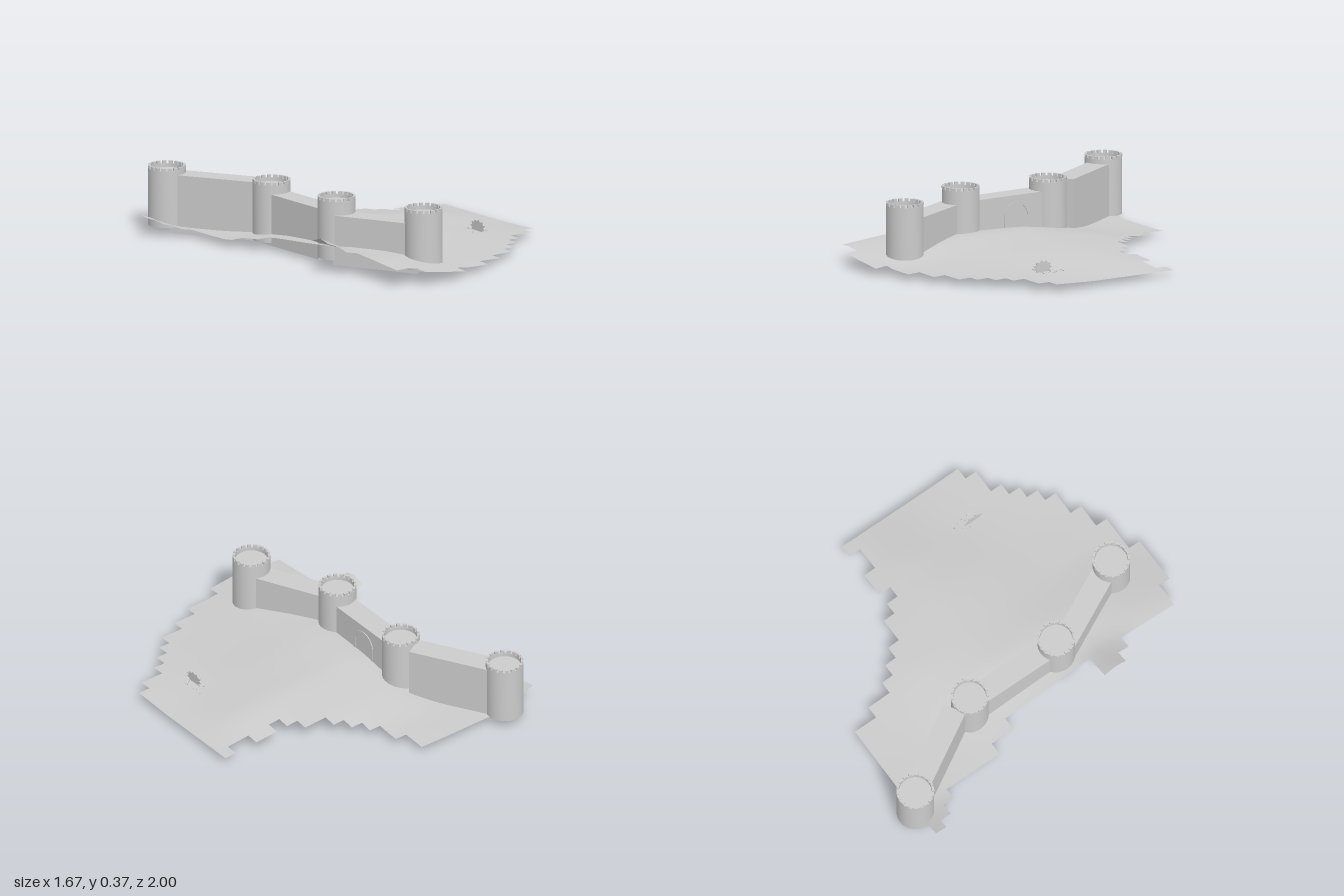
import * as THREE from 'three';
import { toCreasedNormals } from 'three/addons/utils/BufferGeometryUtils.js';

const grey = new THREE.MeshStandardMaterial({ color: 0xcccccc });
const greyThin = new THREE.MeshStandardMaterial({ color: 0xcccccc, side: THREE.DoubleSide });

function add(parent, name, geometry, material = grey) {
  const mesh = new THREE.Mesh(geometry, material);
  mesh.name = name;
  parent.add(mesh);
  return mesh;
}

// Ground heights at coarse control points, blended linearly in between
const gx = [-0.85, -0.65, -0.45, -0.25, 0, 0.3, 0.55, 0.83];
const gz = [-0.9, -0.65, -0.4, -0.1, 0.2, 0.45, 0.7, 1.0];
const heights = [
  [0.125, 0.04, 0.035, 0.03, 0.03, 0.03, 0.03, 0.03],
  [0.08, 0.04, 0.035, 0.035, 0.04, 0.035, 0.035, 0.03],
  [0.07, 0.04, 0.045, 0.075, 0.085, 0.07, 0.045, 0.03],
  [0.09, 0.08, 0.08, 0.12, 0.11, 0.1, 0.08, 0.03],
  [0.15, 0.12, 0.1, 0.125, 0.1, 0.08, 0.05, 0.03],
  [0.21, 0.21, 0.11, 0.11, 0.075, 0.055, 0.045, 0.04],
  [0.1, 0.1, 0.12, 0.1, 0.055, 0.04, 0.04, 0.04],
  [0.07, 0.08, 0.09, 0.06, 0.03, 0.03, 0.03, 0.03],
];

function locate(list, v) {
  let i = 0;
  while (i < list.length - 2 && v > list[i + 1]) i++;
  return [i, THREE.MathUtils.clamp((v - list[i]) / (list[i + 1] - list[i]), 0, 1)];
}

function groundHeight(x, z) {
  const [i, u] = locate(gx, x);
  const [j, v] = locate(gz, z);
  const { lerp } = THREE.MathUtils;
  return lerp(lerp(heights[j][i], heights[j][i + 1], u), lerp(heights[j + 1][i], heights[j + 1][i + 1], u), v);
}

// Ground sheet of square cells; each row lists its filled column spans
function groundGeometry() {
  const cell = 0.0701, cols = 24, x0 = -0.851, z0 = -0.897;
  const rows = [
    [0, 11], [1, 11], [2, 12], [3, 12], [3, 13], [3, 14], [3, 15], [3, 17],
    [4, 18, 19, 21, 23, 24], [4, 24],
    ...Array.from({ length: 8 }, () => [5, 24]),
    [3, 24], [3, 23], [4, 21], [5, 20], [5, 19], [5, 18], [5, 16], [5, 14], [7, 11],
  ];
  const positions = [], index = [];
  for (let j = 0; j <= rows.length; j++) {
    for (let i = 0; i <= cols; i++) {
      const x = Math.max(x0 + i * cell, -0.838), z = z0 + j * cell;
      positions.push(x, groundHeight(x, z), z);
    }
  }
  rows.forEach((spans, j) => {
    for (let s = 0; s < spans.length; s += 2) {
      for (let i = spans[s]; i < spans[s + 1]; i++) {
        const a = j * (cols + 1) + i, b = a + cols + 1;
        index.push(a, b, a + 1, a + 1, b, b + 1);
      }
    }
  });
  const geometry = new THREE.BufferGeometry();
  geometry.setAttribute('position', new THREE.Float32BufferAttribute(positions, 3));
  geometry.setIndex(index);
  geometry.computeVertexNormals();
  return geometry;
}

// Round tower with a sunken roof and a ring of merlons
function makeTower(name, x, z, bottom, top) {
  const tower = new THREE.Group();
  tower.name = name;
  tower.position.set(x, 0, z);
  const R = 0.103, r = 0.09, notch = 0.015, count = 18;
  const profile = [
    [0, bottom], [R, bottom], [R, top - notch], [r, top - notch], [r, top - 0.035], [0, top - 0.035],
  ].map(([px, py]) => new THREE.Vector2(px, py));
  add(tower, 'towerBody', toCreasedNormals(new THREE.LatheGeometry(profile, 36), 0.6));

  const half = (Math.PI / count) * 0.65;
  const shape = new THREE.Shape();
  shape.absarc(0, 0, R, -half, half, false);
  shape.absarc(0, 0, r, half, -half, true);
  const merlon = new THREE.ExtrudeGeometry(shape, { depth: notch, bevelEnabled: false, curveSegments: 3 });
  merlon.rotateX(-Math.PI / 2);
  for (let i = 0; i < count; i++) {
    const mesh = add(tower, 'merlon', merlon);
    mesh.position.y = top - notch;
    mesh.rotation.y = (i / count) * Math.PI * 2;
  }
  return tower;
}

// Arched frame around the gate, facing +x
function gateFrameGeometry() {
  const outline = (target, radius, base) => {
    target.moveTo(-radius, base);
    target.lineTo(radius, base);
    target.lineTo(radius, 0.167);
    target.absarc(0, 0.167, radius, 0, Math.PI, false);
    target.lineTo(-radius, base);
    return target;
  };
  const shape = outline(new THREE.Shape(), 0.083, 0.03);
  shape.holes.push(outline(new THREE.Path(), 0.071, 0.031));
  const geometry = new THREE.ExtrudeGeometry(shape, { depth: 0.008, bevelEnabled: false, curveSegments: 20 });
  geometry.rotateY(Math.PI / 2);
  return geometry;
}

// Small thin bush with a ragged outline and loose bits around it
function makeBush() {
  const bush = new THREE.Group();
  bush.name = 'bush';
  bush.position.set(0.535, 0.035, 0.325);
  let seed = 7;
  const random = () => (seed = (seed * 16807) % 2147483647) / 2147483647;
  const points = [];
  for (let i = 0; i < 22; i++) {
    const a = (i / 22) * Math.PI * 2, k = i % 2 ? 0.8 : 1.05;
    points.push(new THREE.Vector2(Math.cos(a) * 0.06 * k, 0.037 + Math.sin(a) * 0.038 * k));
  }
  const foliage = new THREE.ExtrudeGeometry(new THREE.Shape(points), { depth: 0.006, bevelEnabled: false });
  foliage.rotateY(Math.PI / 2);
  add(bush, 'foliage', foliage);
  const bit = new THREE.TetrahedronGeometry(0.006);
  for (let i = 0; i < 18; i++) {
    const x = (random() - 0.5) * 0.11, z = -0.04 + (random() - 0.5) * 0.15;
    const mesh = add(bush, 'looseBit', bit);
    mesh.position.set(x, groundHeight(0.535 + x, 0.325 + z) - 0.033, z);
    mesh.rotation.set(random() * 3, random() * 3, 0);
  }
  return bush;
}

export function createModel() {
  const model = new THREE.Group();
  model.name = 'castleWall';

  add(model, 'ground', groundGeometry(), greyThin);

  model.add(
    makeTower('backTower', -0.645, -0.897, 0.035, 0.365),
    makeTower('backGateTower', -0.365, -0.336, 0.015, 0.35),
    makeTower('frontGateTower', -0.37, 0.235, 0.025, 0.365),
    makeTower('frontTower', -0.17, 0.743, 0.03, 0.365),
  );

  // Straight walls: centre x, centre z, length, height, direction in x and z
  const walls = [
    ['backWall', -0.497, -0.654, 0.493, 0.325, 0.503, 0.864],
    ['gateWall', -0.367, -0.09, 0.5, 0.285, 0, 1],
    ['frontWall', -0.278, 0.494, 0.5, 0.275, 0.447, 0.894],
  ];
  for (const [name, x, z, length, height, dx, dz] of walls) {
    const wall = add(model, name, new THREE.BoxGeometry(0.127, height, length));
    wall.position.set(x, height / 2, z);
    wall.rotation.y = Math.atan2(dx, dz);
  }

  const frame = add(model, 'gateFrame', gateFrameGeometry());
  frame.position.set(-0.307, 0, -0.087);

  model.add(makeBush());
  return model;
}
